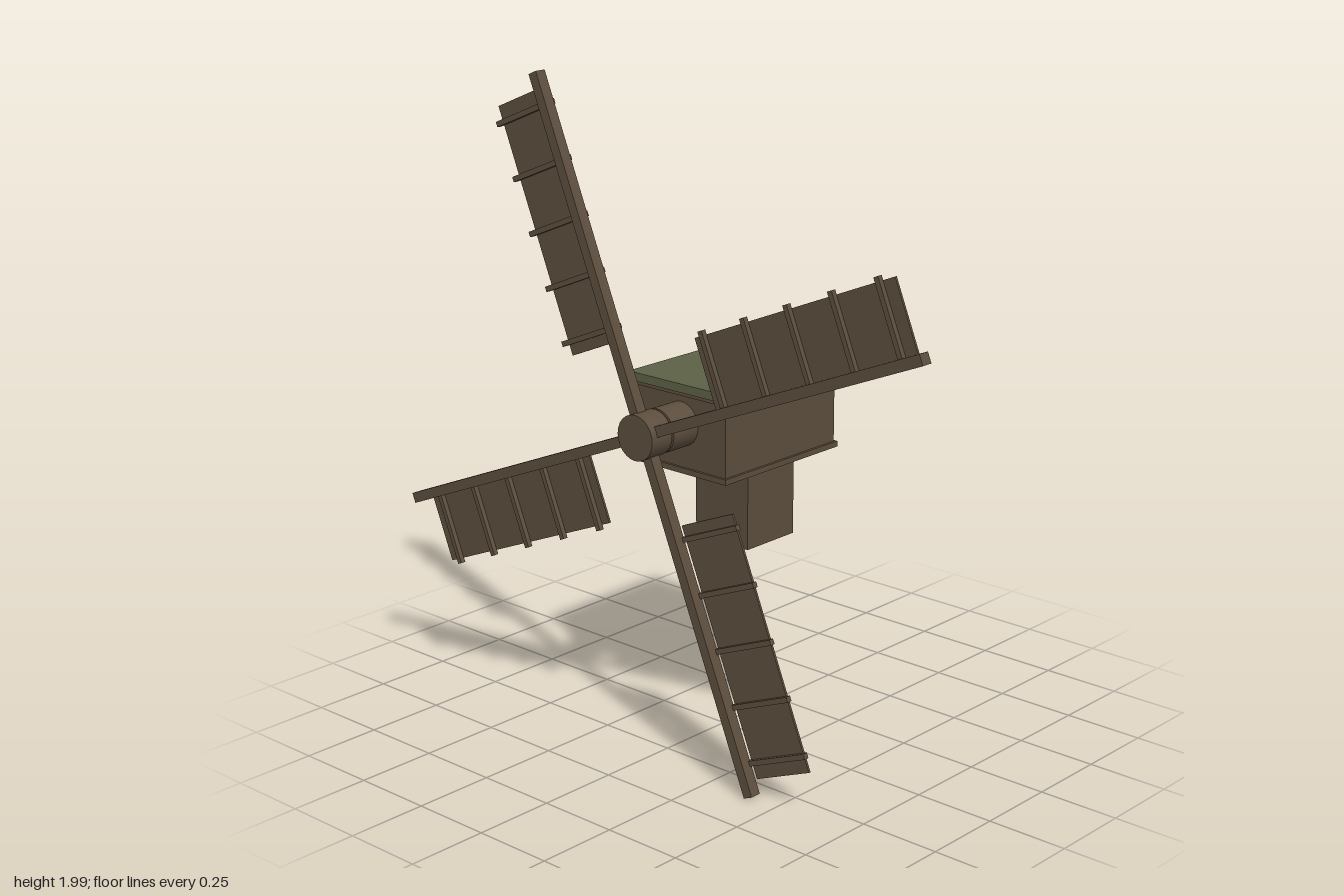
import * as THREE from 'three';

export function createModel() {
  const model = new THREE.Group();
  model.name = 'windmillTop';

  const wood = new THREE.MeshStandardMaterial({ color: 0x5c4d3d });
  wood.name = 'brown wood';
  const roofGreen = new THREE.MeshStandardMaterial({ color: 0x5c6146 });
  roofGreen.name = 'green roof';

  // Box given by its min and max along each axis
  function box(parent, name, x, y, z, material = wood) {
    const geo = new THREE.BoxGeometry(x[1] - x[0], y[1] - y[0], z[1] - z[0]);
    const mesh = new THREE.Mesh(geo, material);
    mesh.position.set((x[0] + x[1]) / 2, (y[0] + y[1]) / 2, (z[0] + z[1]) / 2);
    mesh.name = name;
    parent.add(mesh);
  }

  // Round part lying along z
  function drum(name, radius, y, z0, z1) {
    const geo = new THREE.CylinderGeometry(radius, radius, z1 - z0, 24).rotateX(Math.PI / 2);
    const mesh = new THREE.Mesh(geo, wood);
    mesh.position.set(0, y, (z0 + z1) / 2);
    mesh.name = name;
    model.add(mesh);
  }

  // Housing, its rims, roof slab and supporting post
  box(model, 'housing', [-0.172, 0.172], [0.857, 1.1], [-0.3, 0.184]);
  box(model, 'lowerRim', [-0.18, 0.18], [0.855, 0.872], [-0.308, 0.192]);
  box(model, 'upperRim', [-0.182, 0.182], [1.088, 1.102], [-0.31, 0.19]);
  box(model, 'roof', [-0.195, 0.195], [1.1, 1.126], [-0.327, 0.198], roofGreen);
  box(model, 'post', [-0.103, 0.103], [0.592, 0.857], [-0.197, 0.009]);

  // Shaft, hub and rear knob
  drum('shaft', 0.067, 1.002, 0.18, 0.284);
  drum('hub', 0.068, 1.002, 0.293, 0.375);
  drum('rearAxle', 0.056, 0.935, -0.35, -0.295);
  drum('rearKnob', 0.07, 0.935, -0.373, -0.345);

  // Four sails: spar along +x, panel and rungs on its +y side
  for (let i = 0; i < 4; i++) {
    const sail = new THREE.Group();
    sail.name = 'sail' + (i + 1);
    sail.position.y = 1.002;
    sail.rotation.z = Math.PI / 8 + (i * Math.PI) / 2;
    box(sail, 'spar', [0, 1.072], [-0.016, 0.016], [0.318, 0.353]);
    box(sail, 'panel', [0.277, 1.031], [0.014, 0.222], [0.303, 0.31]);
    for (let r = 0; r < 5; r++) {
      const u = 0.317 + r * 0.166;
      box(sail, 'rung' + (r + 1), [u - 0.008, u + 0.008], [-0.01, 0.236], [0.309, 0.325]);
    }
    model.add(sail);
  }

  return model;
}
